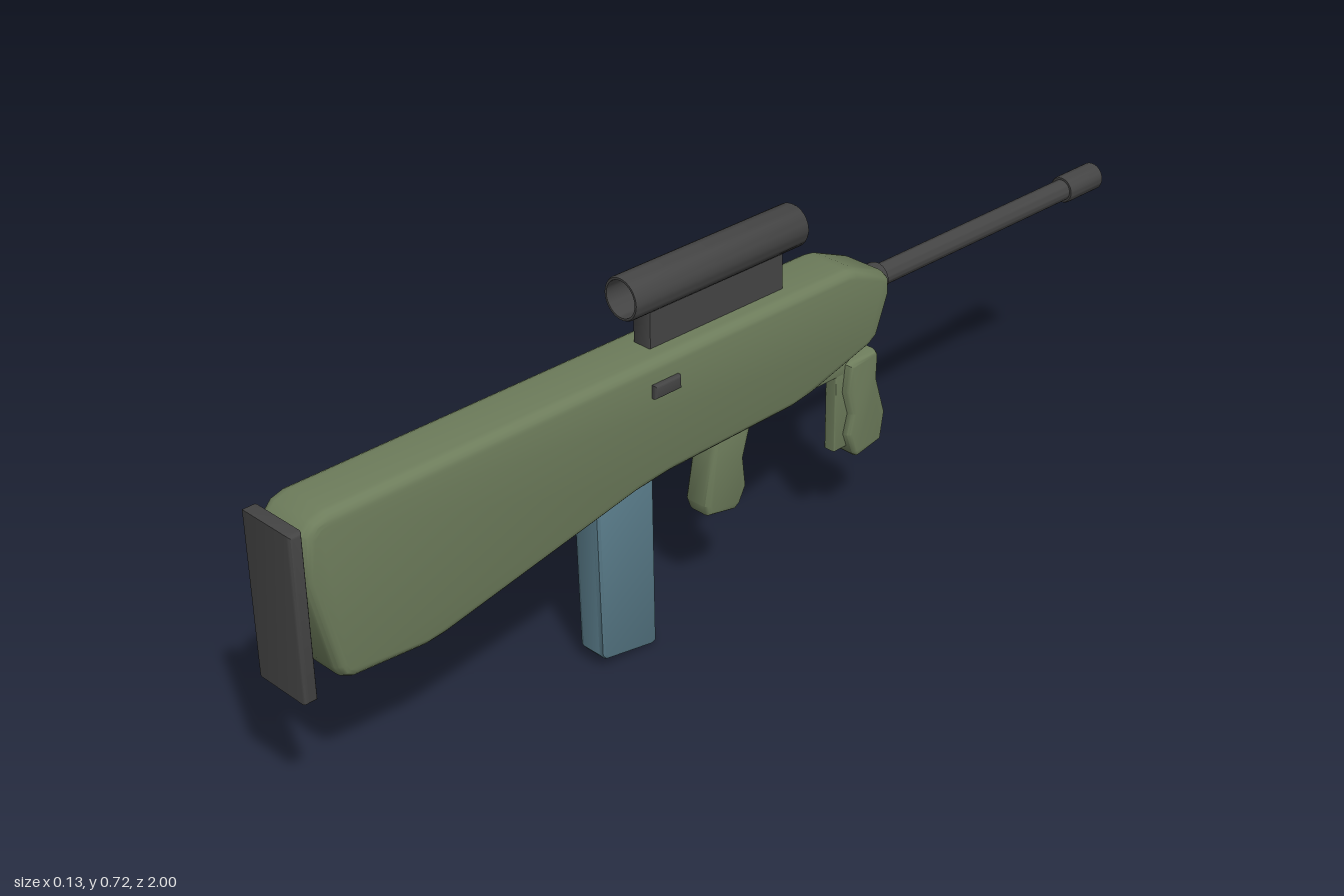
import * as THREE from 'three';
import { toCreasedNormals } from 'three/addons/utils/BufferGeometryUtils.js';

const CX = -0.006; // centre plane of the main parts

export function createModel() {
  const group = new THREE.Group();
  const mat = (name, color, side = THREE.FrontSide) => {
    const m = new THREE.MeshStandardMaterial({ color, side });
    m.name = name;
    return m;
  };
  const green = mat('olive green', 0x6d7c5b);
  const dark = mat('dark grey', 0x444444, THREE.DoubleSide);
  const blue = mat('steel blue', 0x587a88);

  const add = (name, geometry, material) => {
    const mesh = new THREE.Mesh(geometry, material);
    mesh.name = name;
    group.add(mesh);
    return mesh;
  };

  // Side outline given as [z, y], extruded across x with rounded edges
  const slab = (name, pts, width, bevel, material, cx = CX, segments = 3) => {
    const shape = new THREE.Shape(pts.map(([z, y]) => new THREE.Vector2(z, y)));
    const geo = new THREE.ExtrudeGeometry(shape, {
      depth: width - 2 * bevel, bevelThickness: bevel, bevelSize: bevel * 0.75,
      bevelOffset: -bevel * 0.75, bevelSegments: segments,
    });
    geo.translate(0, 0, -(width - 2 * bevel) / 2);
    geo.rotateY(-Math.PI / 2);
    geo.translate(cx, 0, 0);
    return add(name, toCreasedNormals(geo, 0.65), material);
  };
  const rect = (z0, z1, y0, y1) => [[z0, y0], [z1, y0], [z1, y1], [z0, y1]];

  // Turned part along z; profile given as [radius, z]
  const turned = (name, profile, y, material) => {
    const geo = new THREE.LatheGeometry(profile.map(([r, z]) => new THREE.Vector2(r, z)), 32);
    geo.rotateX(Math.PI / 2);
    geo.translate(CX, y, 0);
    return add(name, toCreasedNormals(geo, 0.6), material);
  };

  // Stock and receiver in one shell
  slab('body', [
    [0.925, 0.585], [0.952, 0.577], [0.97, 0.557], [0.975, 0.48], [0.935, 0.305],
    [0.925, 0.285], [0.905, 0.275], [0.76, 0.264], [0.72, 0.268], [0.30, 0.351],
    [0.22, 0.359], [-0.08, 0.364], [-0.13, 0.372], [-0.28, 0.413], [-0.302, 0.427],
    [-0.333, 0.505], [-0.332, 0.535], [-0.32, 0.549], [-0.24, 0.582], [-0.22, 0.585],
  ], 0.122, 0.022, green, CX, 4);
  slab('buttPlate', rect(0.975, 1, 0.272, 0.575), 0.122, 0.008, dark);
  slab('boltHandle', rect(0.205, 0.265, 0.521, 0.546), 0.03, 0.005, dark, 0.05);

  // Magazine and grips
  slab('magazine', [
    [0.37, 0.37], [0.364, 0.035], [0.355, 0.024], [0.245, 0.004], [0.235, 0.008], [0.235, 0.38],
  ], 0.061, 0.01, blue, CX, 2);
  slab('rearGrip', [
    [0.083, 0.375], [0.09, 0.32], [0.108, 0.225], [0.10, 0.203], [0.035, 0.19],
    [0.022, 0.198], [0.005, 0.23], [0.012, 0.29], [-0.005, 0.345], [-0.005, 0.375],
  ], 0.056, 0.012, green);
  slab('gripRail', rect(-0.275, 0.01, 0.345, 0.372), 0.026, 0.003, green);
  slab('railPost', rect(-0.275, -0.24, 0.19, 0.372), 0.026, 0.003, green);
  slab('foreGrip', [
    [-0.265, 0.365], [-0.275, 0.371], [-0.335, 0.375], [-0.342, 0.365], [-0.34, 0.315],
    [-0.365, 0.235], [-0.355, 0.177], [-0.29, 0.165], [-0.278, 0.175], [-0.262, 0.22],
    [-0.273, 0.26], [-0.258, 0.31],
  ], 0.056, 0.012, green);

  // Barrel with collar and muzzle
  turned('barrel', [
    [0, -1], [0.023, -1], [0.027, -0.996], [0.027, -0.904], [0.025, -0.9], [0.021, -0.9],
    [0.021, -0.362], [0.027, -0.362], [0.029, -0.355], [0.029, -0.3],
  ], 0.507, dark);

  // Scope: open tube with the lens near its rear end, on a straight mount
  turned('scopeTube', [
    [0.034, -0.135], [0.038, -0.135], [0.04, -0.131], [0.04, 0.271], [0.038, 0.275],
    [0.034, 0.275], [0.034, -0.135],
  ], 0.687, dark);
  const lens = add('scopeLens', new THREE.SphereGeometry(0.0345, 32, 16), blue);
  lens.scale.z = 0.3;
  lens.position.set(CX, 0.687, -0.123);
  slab('scopeMount', rect(-0.09, 0.23, 0.575, 0.655), 0.04, 0.002, dark, CX, 1);

  return group;
}
